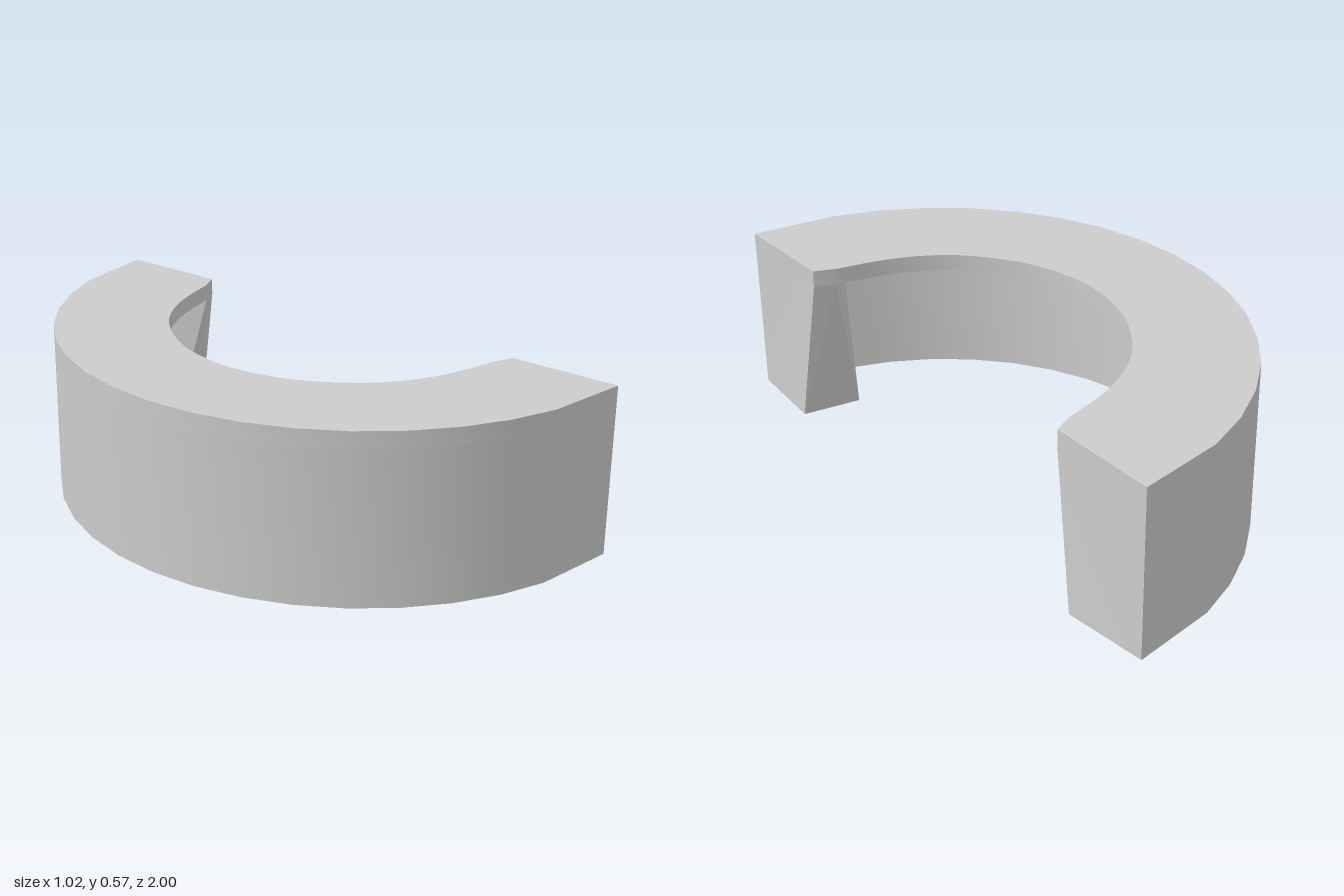
import * as THREE from 'three';
import { toCreasedNormals } from 'three/addons/utils/BufferGeometryUtils.js';

const TOP = 0.567, UNDER = 0.512;  // top plate heights
const CX = 0.487, R_OUT = 1.0, R_IN = 0.935;
const R_IN_TOP = 0.965;            // the wall thins slightly towards the plate
const GAP = 0.294;                 // angle of the straight end run
const material = new THREE.MeshStandardMaterial({ color: 0xcccccc });

const v2 = (x, z) => new THREE.Vector2(x, z);

// Arc in the ground plane, bulging to -x, from the +z end to the -z end
function arc(radius, steps = 16) {
  const points = [];
  const start = Math.PI / 2 + GAP, sweep = Math.PI - 2 * GAP;
  for (let i = 0; i <= steps; i++) {
    const a = start + sweep * i / steps;
    points.push(v2(CX + radius * Math.cos(a), radius * Math.sin(a)));
  }
  return points;
}

// Upright slab geometry with a ground-plane outline
function slab(outline, bottom, top) {
  const geometry = new THREE.ExtrudeGeometry(new THREE.Shape(outline), {
    depth: top - bottom, bevelEnabled: false,
  });
  return geometry.rotateX(Math.PI / 2).translate(0, top, 0);
}

function part(name, geometry) {
  const mesh = new THREE.Mesh(toCreasedNormals(geometry, 0.25), material);
  mesh.name = name;
  return mesh;
}

// Thin curved wall whose inner face leans outwards on the way up
function wall() {
  const geometry = slab([...arc(R_OUT), ...arc(R_IN).reverse()], 0, UNDER);
  const p = geometry.attributes.position;
  for (let i = 0; i < p.count; i++) {
    const x = p.getX(i) - CX, z = p.getZ(i);
    if (p.getY(i) > UNDER / 2 && Math.hypot(x, z) < (R_IN + R_OUT) / 2) {
      const s = R_IN_TOP / R_IN;
      p.setX(i, CX + x * s);
      p.setZ(i, z * s);
    }
  }
  return geometry;
}

// End leg lofted between a lower and an upper outline; side mirrors it in z
function leg(side) {
  const lower = [[0.485, 1], [0.51, 0.715], [0.312, 0.679], [0.216, 0.895], [0.197, 0.957]];
  const upper = [[0.485, 1], [0.485, 0.63], [0.42, 0.6], [0.216, 0.895], [0.197, 0.957]];
  const n = lower.length, positions = [], index = [];
  for (const [outline, y] of [[lower, 0], [upper, UNDER]])
    for (const [x, z] of outline) positions.push(x, y, z * side);
  const tri = (a, b, c) => (side > 0 ? index.push(a, b, c) : index.push(a, c, b));
  for (let i = 0; i < n; i++) {
    const j = (i + 1) % n;
    tri(i, j, n + j);
    tri(i, n + j, n + i);
  }
  // Caps as fans: the foot faces down, the head faces up
  for (let i = 1; i < n - 1; i++) {
    tri(0, i + 1, i);
    tri(n, n + i, n + i + 1);
  }
  const geometry = new THREE.BufferGeometry();
  geometry.setAttribute('position', new THREE.Float32BufferAttribute(positions, 3));
  geometry.setIndex(index);
  return geometry;
}

export function createModel() {
  const group = new THREE.Group();
  group.name = 'halfRing';

  // Inner rim of the plate, from the -z end round to the +z end
  const half = [[0.42, 0.6], [0.25, 0.555], [0.11, 0.485], [0, 0.385], [-0.105, 0.215]];
  const rim = new THREE.SplineCurve([
    ...half.map(([x, z]) => v2(x, -z)), v2(-0.147, 0),
    ...half.slice().reverse().map(([x, z]) => v2(x, z)),
  ]).getPoints(30);

  group.add(
    part('topPlate', slab([
      v2(0.485, 1), ...arc(R_OUT), v2(0.485, -1), v2(0.485, -0.63), ...rim, v2(0.485, 0.63),
    ], UNDER, TOP)),
    part('outerWall', wall()),
    part('frontLeg', leg(1)),
    part('backLeg', leg(-1)),
  );
  return group;
}
